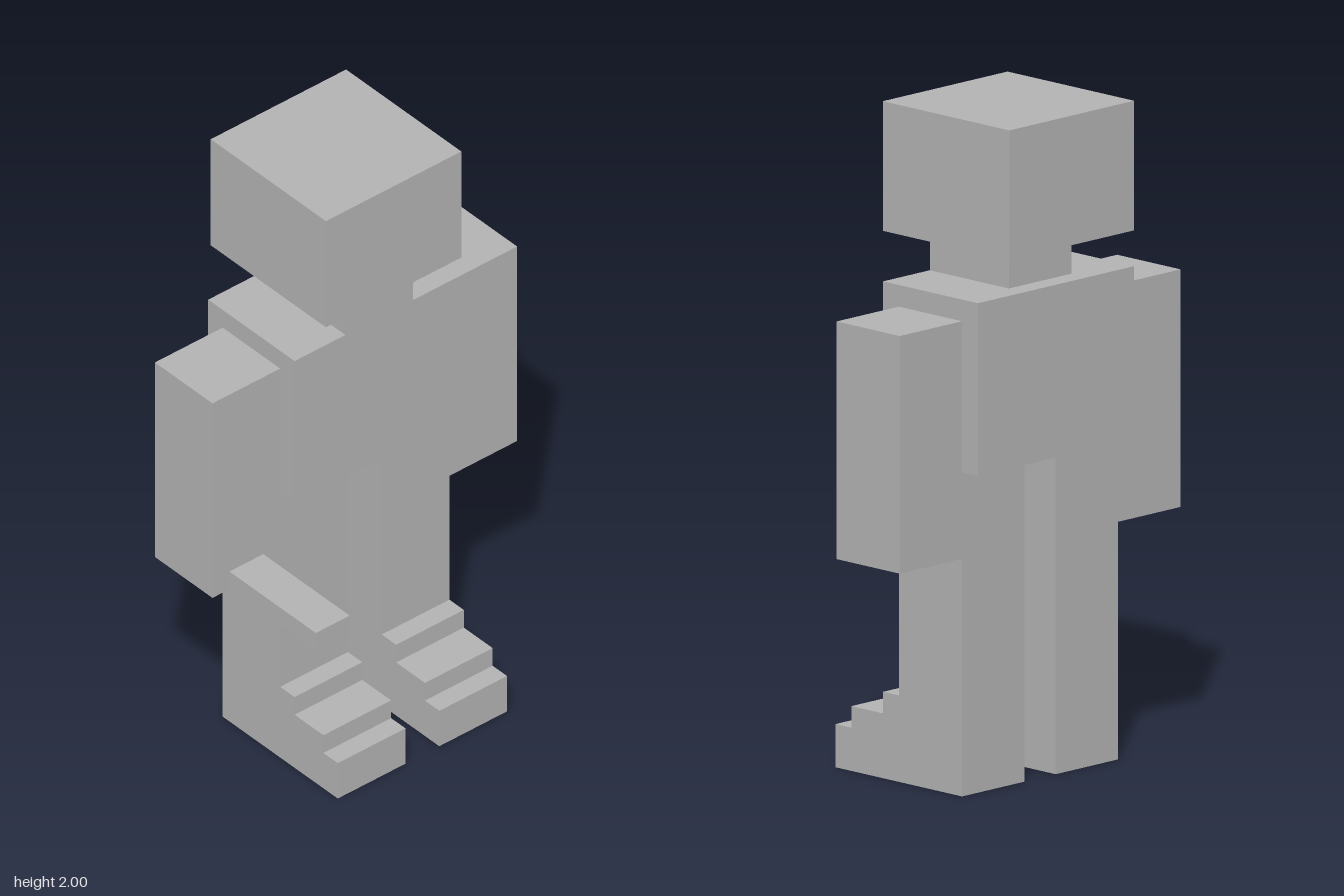
import * as THREE from 'three';

// Everything sits on a block grid: the figure is 31 blocks tall.
const U = 2 / 31;

export function createModel() {
  const group = new THREE.Group();
  group.name = 'blockFigure';
  const grey = new THREE.MeshStandardMaterial({ color: 0xb2b2b2 });
  grey.name = 'grey';

  function add(name, geometry) {
    geometry.scale(U, U, U);
    const mesh = new THREE.Mesh(geometry, grey);
    mesh.name = name;
    group.add(mesh);
  }

  // Box given by its extents in blocks
  function block(name, [x0, x1], [y0, y1], [z0, z1]) {
    const g = new THREE.BoxGeometry(x1 - x0, y1 - y0, z1 - z0);
    g.translate((x0 + x1) / 2, (y0 + y1) / 2, (z0 + z1) / 2);
    add(name, g);
  }

  block('head', [-4, 4], [25, 31], [-6, 2]);
  block('neck', [-2, 2], [23, 25], [-4, 1]);
  block('torso', [-5, 5], [15, 23], [-5, 1]);
  block('leftArm', [5, 9], [11, 22], [-4, 0]);
  block('rightArm', [-9, -5], [11, 22], [-4, 0]);
  block('heldStick', [-8, -6], [11, 12], [0, 6]);

  // Leg and stepped foot share one side profile (z, y)
  const profile = [[-4, 0], [4, 0], [4, 2], [3, 2], [3, 3], [1, 3], [1, 4], [0, 4], [0, 15], [-4, 15]];
  const shape = new THREE.Shape(profile.map(([z, y]) => new THREE.Vector2(z, y)));
  for (const [name, outerX] of [['leftLeg', 5], ['rightLeg', -1]]) {
    const leg = new THREE.ExtrudeGeometry(shape, { depth: 4, bevelEnabled: false });
    leg.rotateY(-Math.PI / 2);
    leg.translate(outerX, 0, 0);
    add(name, leg);
  }

  return group;
}
